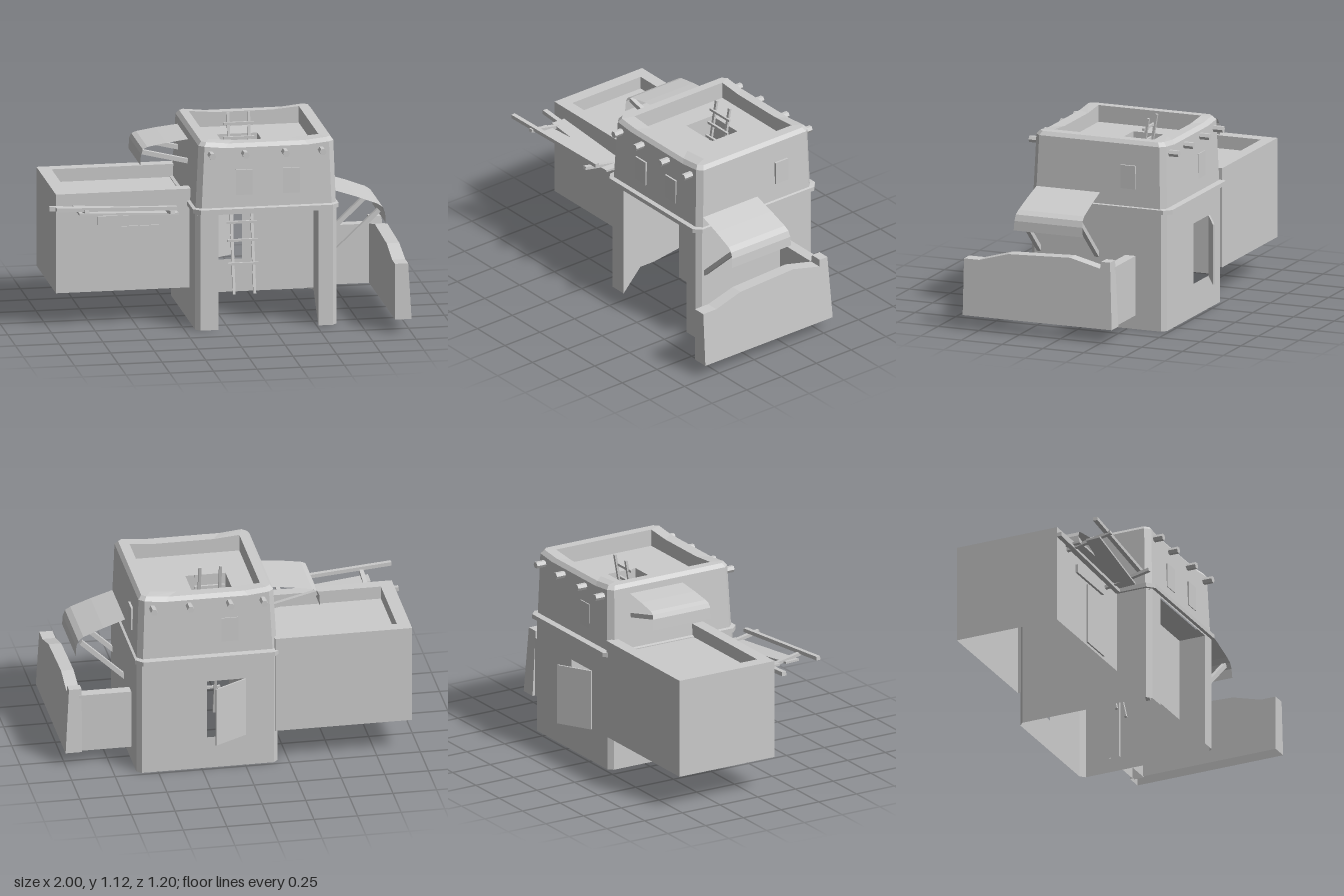
import * as THREE from 'three';

const flat = new THREE.MeshStandardMaterial({ color: 0xcccccc, flatShading: true });
const thin = new THREE.MeshStandardMaterial({ color: 0xcccccc, flatShading: true, side: THREE.DoubleSide });

// Chamfered rectangle ring; the front and back edges sag by dip between their corners
function ring(y, x0, x1, z0, z1, c = 0.0005, dip = 0) {
  const a = x0 + 0.15, b = x1 - 0.15, d = y - dip;
  return [[x0 + c, y, z1], [a, d, z1], [b, d, z1], [x1 - c, y, z1], [x1, y, z1 - c], [x1, y, z0 + c],
    [x1 - c, y, z0], [b, d, z0], [a, d, z0], [x0 + c, y, z0], [x0, y, z0 + c], [x0, y, z1 - c]];
}

// Skin through successive rings, optionally closed at the last one
function loft(rings, capEnd) {
  const pos = [], n = rings[0].length;
  const tri = (...p) => p.forEach((v) => pos.push(...v));
  for (let k = 0; k + 1 < rings.length; k++) {
    for (let i = 0; i < n; i++) {
      const j = (i + 1) % n, A = rings[k], B = rings[k + 1];
      tri(A[i], A[j], B[j]);
      tri(A[i], B[j], B[i]);
    }
  }
  const last = rings[rings.length - 1];
  if (capEnd) for (let i = 1; i + 1 < n; i++) tri(last[0], last[i], last[i + 1]);
  const g = new THREE.BufferGeometry();
  g.setAttribute('position', new THREE.Float32BufferAttribute(pos, 3));
  g.computeVertexNormals();
  return g;
}

// Drops the faces that point straight down
function openBottom(geo) {
  const g = geo.index ? geo.toNonIndexed() : geo;
  const p = g.attributes.position, nrm = g.attributes.normal, pos = [];
  for (let i = 0; i < p.count; i++) if (nrm.getY(i) > -0.9) pos.push(p.getX(i), p.getY(i), p.getZ(i));
  const out = new THREE.BufferGeometry();
  out.setAttribute('position', new THREE.Float32BufferAttribute(pos, 3));
  out.computeVertexNormals();
  return out;
}

const shapeOf = (pts) => new THREE.Shape(pts.map((p) => new THREE.Vector2(...p)));
const rect = (x0, x1, y0, y1) => [[x0, y0], [x1, y0], [x1, y1], [x0, y1]];

// Flat panel with an optional hole
function panel(pts, hole) {
  const s = shapeOf(pts);
  if (hole) s.holes.push(shapeOf(hole));
  return new THREE.ShapeGeometry(s);
}

export function createModel() {
  const root = new THREE.Group();
  const add = (name, geo, mat = flat, parent = root) => {
    const m = new THREE.Mesh(geo, mat);
    m.name = name;
    parent.add(m);
    return m;
  };
  const group = (name) => {
    const g = new THREE.Group();
    g.name = name;
    root.add(g);
    return g;
  };
  const boxGeo = (x0, x1, y0, y1, z0, z1) => new THREE.BoxGeometry(x1 - x0, y1 - y0, z1 - z0)
    .translate((x0 + x1) / 2, (y0 + y1) / 2, (z0 + z1) / 2);
  // Straight timber from a to b
  const beam = (name, a, b, w, h, parent) => {
    const A = new THREE.Vector3(...a), B = new THREE.Vector3(...b);
    const m = add(name, new THREE.BoxGeometry(w, h, A.distanceTo(B)), flat, parent);
    m.position.copy(A).lerp(B, 0.5);
    m.lookAt(B);
  };

  // Lower storey: outer walls
  const X0 = -0.19, X1 = 0.62, Z0 = -0.48, Z1 = 0.35, C = 0.027, H = 0.69;
  const lower = group('lowerStorey');
  add('frontWall', panel([[X0 + C, 0], [-0.06, 0], [-0.06, 0.67], [0.51, 0.67], [0.51, 0],
    [X1 - C, 0], [X1 - C, H], [X0 + C, H]]).translate(0, 0, Z1), thin, lower);
  add('backWall', panel(rect(-X1 + C, -X0 - C, 0, H), rect(-0.22, 0, 0.19, 0.54))
    .rotateY(Math.PI).translate(0, 0, Z0), thin, lower);
  add('rightWall', panel(rect(-Z1 + C, -Z0 - C, 0, H)).rotateY(Math.PI / 2).translate(X1, 0, 0), thin, lower);
  add('leftWall', panel(rect(Z0 + C, Z1 - C, 0, H)).rotateY(-Math.PI / 2).translate(X0, 0, 0), flat, lower);
  for (const sx of [-1, 1]) {
    for (const sz of [-1, 1]) {
      const m = add('cornerChamfer', new THREE.PlaneGeometry(C * Math.SQRT2, H), thin, lower);
      m.position.set((sx > 0 ? X1 : X0) - sx * C / 2, H / 2, (sz > 0 ? Z1 : Z0) - sz * C / 2);
      m.rotation.y = Math.atan2(sx, sz);
    }
  }

  // Lower storey: inner walls stepping up over the ground, with a partition on the right
  const leftFoot = [[0.35, 0], [0.23, 0.13], [0.13, 0.13], [-0.25, 0.185], [-0.48, 0.185], [-0.48, 0.67], [0.35, 0.67]];
  const rightFoot = [[0.35, 0], [0.19, 0.18], [0.19, 0.67], [0.35, 0.67]];
  add('innerLeftWall', panel(leftFoot.map(([z, y]) => [-z, y])).rotateY(Math.PI / 2).translate(-0.06, 0, 0), thin, lower);
  add('innerRightWall', panel(rightFoot).rotateY(-Math.PI / 2).translate(0.51, 0, 0), thin, lower);
  add('partition', panel(rect(0.24, 0.51, 0.18, 0.67)).translate(0, 0, 0.19), thin, lower);
  add('ceiling', panel(rect(-0.18, 0.61, -0.47, 0.34)).rotateX(Math.PI / 2).translate(0, 0.67, 0), thin, lower);
  beam('windowShutter', [0, 0.365, -0.483], [0.19, 0.365, -0.592], 0.01, 0.35, lower);

  // Ledge between the storeys
  add('ledge', loft([ring(0.68, -0.185, 0.615, -0.475, 0.345, C), ring(0.68, -0.205, 0.63, -0.512, 0.37, 0.04),
    ring(0.705, -0.205, 0.63, -0.512, 0.37, 0.04), ring(0.71, -0.18, 0.61, -0.47, 0.34, C)]));

  // Upper storey with parapet, roof and hatch
  const upper = group('upperStorey');
  add('upperWalls', loft([ring(0.7, -0.187, 0.617, -0.477, 0.345, 0.03), ring(1.065, -0.168, 0.605, -0.467, 0.33, 0.03, 0.013),
    ring(1.087, -0.15, 0.587, -0.447, 0.312, 0.025, 0.013), ring(1.087, -0.1, 0.53, -0.39, 0.24, 0.0005, 0.013),
    ring(0.99, -0.1, 0.53, -0.39, 0.24)]), flat, upper);
  add('roof', panel(rect(-0.1, 0.53, -0.24, 0.39), rect(0.03, 0.26, 0.03, 0.215))
    .rotateX(-Math.PI / 2).translate(0, 0.99, 0), flat, upper);
  add('hatchShaft', loft([0.99, 0.67].map((y) => rect(0.03, 0.26, 0.03, 0.215).map(([x, z]) => [x, y, -z]))), thin, upper);
  for (const x of [0.04, 0.31]) add('frontWindow', boxGeo(x, x + 0.095, 0.78, 0.925, 0.3, 0.346), flat, upper);
  add('rightWindow', boxGeo(0.58, 0.621, 0.81, 0.945, -0.295, -0.205), flat, upper);
  add('backWindow', boxGeo(0.04, 0.135, 0.78, 0.925, -0.4765, -0.44), flat, upper);
  for (const x of [-0.102, 0.09, 0.32, 0.53]) {
    for (const [z0, z1] of [[0.3, 0.39], [-0.527, -0.43]]) {
      add('roofBeam', new THREE.CylinderGeometry(0.02, 0.02, z1 - z0, 6).rotateY(Math.PI / 6).rotateX(Math.PI / 2), flat, upper)
        .position.set(x, 1.019, (z0 + z1) / 2);
    }
  }

  // Ladders: one up to the ceiling, one out through the hatch
  const ladder = (name, y0, z0, y1, z1, rungs) => {
    const g = group(name), zAt = (y) => z0 + (z1 - z0) * (y - y0) / (y1 - y0);
    for (const x of [0.09, 0.208]) beam('rail', [x, y0, z0], [x, y1, z1], 0.016, 0.014, g);
    for (const y of rungs) beam('rung', [0.06, y, zAt(y) + 0.01], [0.235, y, zAt(y) + 0.01], 0.014, 0.014, g);
  };
  ladder('lowerLadder', 0.11, 0, 0.67, -0.12, [0.28, 0.41, 0.51, 0.62]);
  ladder('upperLadder', 0.67, -0.12, 1.12, -0.2, [0.72, 0.81, 0.9, 0.98, 1.06]);

  // Side annex with sunken roof, open below
  const annex = group('annex');
  add('annexBody', loft([ring(0.2, -0.955, -0.17, -0.49, 0.14), ring(0.775, -0.955, -0.17, -0.49, 0.14),
    ring(0.775, -0.88, -0.18, -0.42, 0.07), ring(0.7, -0.88, -0.18, -0.42, 0.07)], true), thin, annex);
  add('annexDoor', boxGeo(-0.58, -0.365, 0.215, 0.575, 0.141, 0.15), flat, annex);
  add('annexLintel', boxGeo(-0.72, -0.385, 0.59, 0.64, 0.141, 0.155), flat, annex);

  // Timber canopy in front of the annex
  const canopy = group('canopy');
  for (const [x, y] of [[-0.825, 0.685], [-0.335, 0.658]])
    beam('canopyCrossbar', [x, y, 0.14], [x, y + 0.055, 0.415], 0.024, 0.018, canopy);
  beam('canopyPole', [-1, 0.705, 0.175], [-0.27, 0.655, 0.185], 0.028, 0.024, canopy);
  beam('canopyPole', [-1, 0.755, 0.402], [-0.3, 0.722, 0.35], 0.026, 0.022, canopy);
  const board = (pts) => {
    const g = new THREE.ExtrudeGeometry(shapeOf(pts.map(([x, z]) => [x, -z])), { depth: 0.012, bevelEnabled: false });
    g.rotateX(-Math.PI / 2);
    const p = g.attributes.position;
    for (let i = 0; i < p.count; i++) p.setY(i, p.getY(i) + 0.646 - p.getX(i) * 0.06 + (p.getZ(i) - 0.17) * 0.04);
    add('canopyBoard', g, flat, canopy);
  };
  board([[-0.86, 0.145], [-0.86, 0.235], [-0.63, 0.245], [-0.28, 0.205], [-0.28, 0.155]]);
  board([[-0.86, 0.275], [-0.86, 0.36], [-0.28, 0.3], [-0.28, 0.175]]);

  // Yard wall: stepped outer wall leaning inward, joined to the tower at the back
  const yard = group('yardWall');
  const prof = [[0.6, 0.08], [0.6, 0.405], [0.505, 0.405], [0.33, 0.455], [-0.05, 0.47], [-0.235, 0.425],
    [-0.24, 0.465], [-0.295, 0.465], [-0.315, 0.08]];
  const wall = openBottom(new THREE.ExtrudeGeometry(shapeOf(prof.map(([z, y]) => [-z, y])), { depth: 0.095, bevelEnabled: false })
    .rotateY(Math.PI / 2).translate(0.905, 0, 0));
  const wp = wall.attributes.position;
  for (let i = 0; i < wp.count; i++) if (wp.getX(i) > 0.95) wp.setX(i, 1 - (wp.getY(i) - 0.08) * 0.06);
  add('outerYardWall', wall, thin, yard);
  add('backYardWall', openBottom(boxGeo(0.6, 0.92, 0.08, 0.425, -0.298, -0.235)), thin, yard);

  // Cloth awnings on struts; the outer edge droops and flares
  const awning = (name, path, z0, z1, strutA, strutB) => {
    const g = group(name), n = path.length - 1;
    const cloth = new THREE.PlaneGeometry(1, 1, n, 1), p = cloth.attributes.position;
    for (let i = 0; i < p.count; i++) {
      const k = i % (n + 1), s = i > n ? 1 : -1;
      p.setXYZ(i, ...path[k], (z0 + z1) / 2 + s * ((z1 - z0) / 2 - 0.018 * (1 - k / n)));
    }
    cloth.computeVertexNormals();
    add('cloth', cloth, thin, g);
    for (const z of [z0 + 0.035, z1 - 0.035]) beam('strut', [...strutA, z], [...strutB, z], 0.026, 0.026, g);
  };
  awning('rightAwning', [[0.61, 0.773], [0.74, 0.73], [0.855, 0.686], [0.885, 0.665], [0.897, 0.63], [0.9, 0.575]],
    -0.095, 0.33, [0.61, 0.405], [0.866, 0.645]);
  awning('leftAwning', [[-0.175, 1.03], [-0.3, 1.015], [-0.41, 0.997], [-0.437, 0.985], [-0.448, 0.96], [-0.452, 0.895]],
    -0.355, 0.03, [-0.175, 0.9], [-0.438, 0.965]);

  return root;
}
